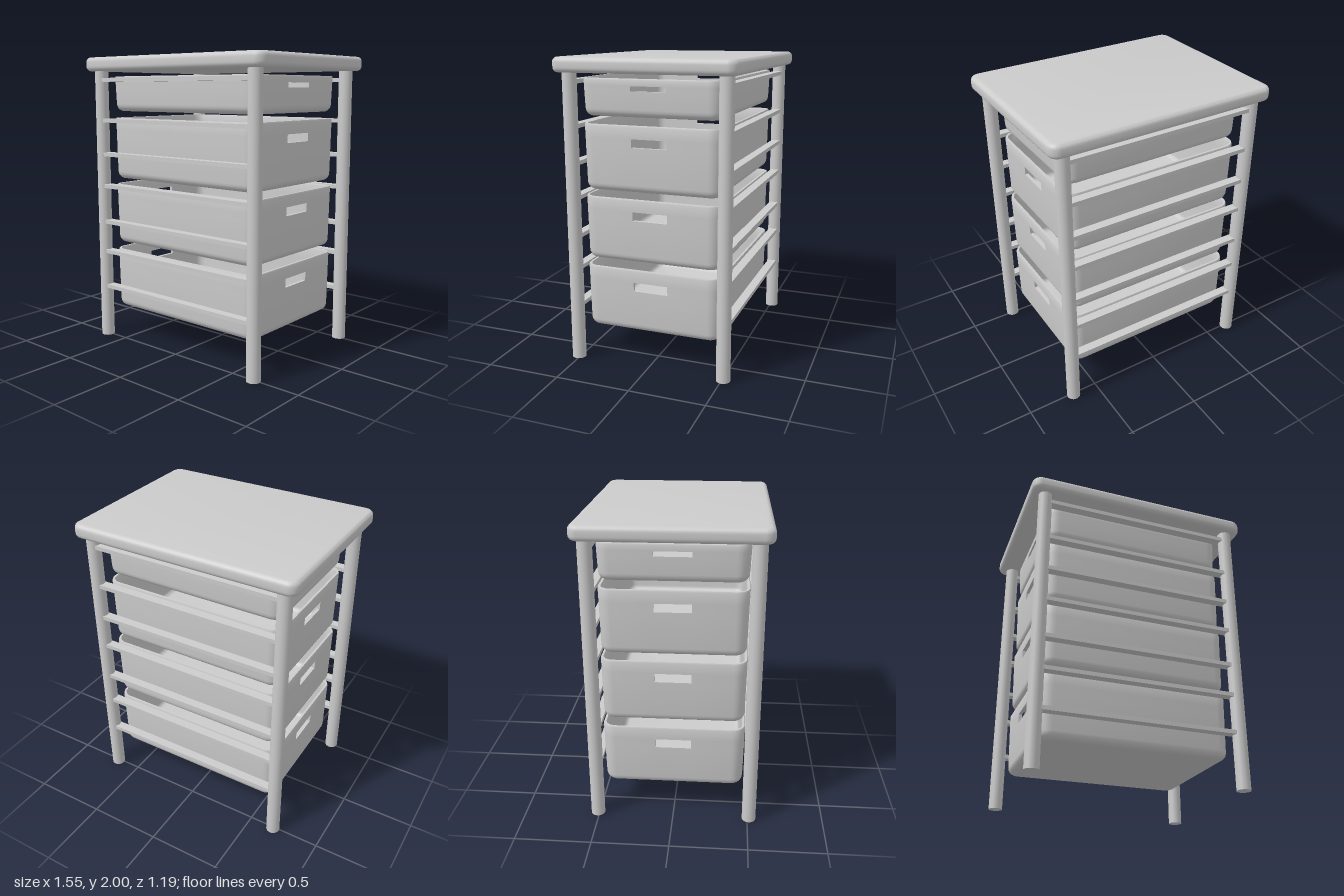
import * as THREE from 'three';
import { toCreasedNormals } from 'three/addons/utils/BufferGeometryUtils.js';

const grey = new THREE.MeshStandardMaterial({ color: 0xcccccc });
const thin = new THREE.MeshStandardMaterial({ color: 0xcccccc, side: THREE.DoubleSide });

function add(parent, name, geometry, x = 0, y = 0, z = 0, material = grey) {
  const mesh = new THREE.Mesh(geometry, material);
  mesh.name = name;
  mesh.position.set(x, y, z);
  parent.add(mesh);
  return mesh;
}

// Slab with rounded corners and rounded edges
function topGeometry(hx, hz, height, radius, bevel) {
  const x = hx - bevel, z = hz - bevel, r = radius - bevel;
  const s = new THREE.Shape();
  s.absarc(x - r, z - r, r, 0, Math.PI / 2);
  s.absarc(-x + r, z - r, r, Math.PI / 2, Math.PI);
  s.absarc(-x + r, -z + r, r, Math.PI, Math.PI * 1.5);
  s.absarc(x - r, -z + r, r, Math.PI * 1.5, Math.PI * 2);
  const g = new THREE.ExtrudeGeometry(s, {
    depth: height - 2 * bevel, bevelSize: bevel, bevelThickness: bevel,
    bevelSegments: 5, curveSegments: 8,
  });
  g.rotateX(-Math.PI / 2).translate(0, bevel, 0);
  return toCreasedNormals(g, 0.6);
}

// Rounded rectangle loop with extra points beside the handle opening on each x side
const GRIP = 0.117, ARC = 6;
function ring(hx, hz, r, y) {
  const pts = [[hx, y, -GRIP], [hx, y, GRIP]];
  for (let q = 0; q < 4; q++) {
    const sx = q === 0 || q === 3 ? 1 : -1, sz = q < 2 ? 1 : -1;
    for (let i = 0; i <= ARC; i++) {
      const a = (q + i / ARC) * Math.PI / 2;
      pts.push([sx * (hx - r) + r * Math.cos(a), y, sz * (hz - r) + r * Math.sin(a)]);
    }
    if (q === 1) pts.push([-hx, y, GRIP], [-hx, y, -GRIP]);
  }
  return pts;
}

// Open bin: loops run up the outside, over the rim and down the inside
function binGeometry(y0, y1, gripLow, gripHigh) {
  const wall = 0.022, taper = 0.008, round = 0.05;
  const profile = []; // [inset, y]
  for (let i = 0; i <= 5; i++) {
    const a = (i / 5) * Math.PI / 2;
    profile.push([taper + round * (1 - Math.sin(a)), y0 + round * (1 - Math.cos(a))]);
  }
  const outer = profile.length;
  profile.push([0.003, gripLow], [0.002, gripHigh], [0, y1 - 0.01], [0.004, y1], [wall - 0.004, y1], [wall, y1 - 0.01]);
  const inner = profile.length;
  profile.push([wall + 0.002, gripHigh], [wall + 0.003, gripLow]);
  for (let i = 5; i >= 0; i--) {
    const a = (i / 5) * Math.PI / 2;
    profile.push([taper + wall + 0.035 * (1 - Math.sin(a)), y0 + 0.02 + 0.035 * (1 - Math.cos(a))]);
  }
  const rings = profile.map(([d, y]) => ring(0.636 - d, 0.467 - d, 0.085 - d, y));
  const n = rings[0].length, last = rings.length - 1, openings = [0, n / 2];
  const pos = [];
  const tri = (...p) => p.forEach((v) => pos.push(...v));
  const quad = (a, b, c, d) => { tri(a, c, b); tri(b, c, d); };

  for (let i = 0; i < last; i++) {
    for (let j = 0; j < n; j++) {
      if ((i === outer || i === inner) && openings.includes(j)) continue;
      const k = (j + 1) % n;
      quad(rings[i][j], rings[i][k], rings[i + 1][j], rings[i + 1][k]);
    }
  }
  // Underside and floor
  for (let j = 0; j < n; j++) {
    const k = (j + 1) % n;
    tri([0, profile[0][1], 0], rings[0][j], rings[0][k]);
    tri([0, profile[last][1], 0], rings[last][k], rings[last][j]);
  }
  // Walls of the handle openings
  for (const j of openings) {
    const o = [rings[outer][j], rings[outer][j + 1], rings[outer + 1][j + 1], rings[outer + 1][j]];
    const p = [rings[inner + 1][j], rings[inner + 1][j + 1], rings[inner][j + 1], rings[inner][j]];
    for (let e = 0; e < 4; e++) quad(o[e], o[(e + 1) % 4], p[e], p[(e + 1) % 4]);
  }
  const g = new THREE.BufferGeometry();
  g.setAttribute('position', new THREE.Float32BufferAttribute(pos, 3));
  return toCreasedNormals(g, 0.6);
}

export function createModel() {
  const model = new THREE.Group();
  model.name = 'storageUnit';

  add(model, 'tabletop', topGeometry(0.775, 0.595, 0.095, 0.065, 0.032), 0, 1.905, 0);

  // Legs
  const leg = new THREE.CylinderGeometry(0.046, 0.046, 1.91, 24);
  for (const x of [-1, 1]) {
    for (const z of [-1, 1]) add(model, 'leg', leg, x * 0.675, 0.955, z * 0.51);
  }

  // Runner rails along the front and back
  const rail = new THREE.BoxGeometry(1.31, 0.027, 0.06);
  for (const y of [0.372, 0.63, 0.846, 1.103, 1.329, 1.566, 1.846]) {
    for (const z of [-1, 1]) add(model, 'rail', rail, 0, y, z * 0.51);
  }

  // Bins: bottom, top, lower and upper edge of the handle openings
  const bins = [
    [0.217, 0.645, 0.5, 0.56],
    [0.692, 1.115, 0.975, 1.033],
    [1.155, 1.584, 1.445, 1.5],
    [1.63, 1.87, 1.793, 1.825],
  ];
  for (const b of bins) add(model, 'bin', binGeometry(...b), 0, 0, 0, thin);

  return model;
}
